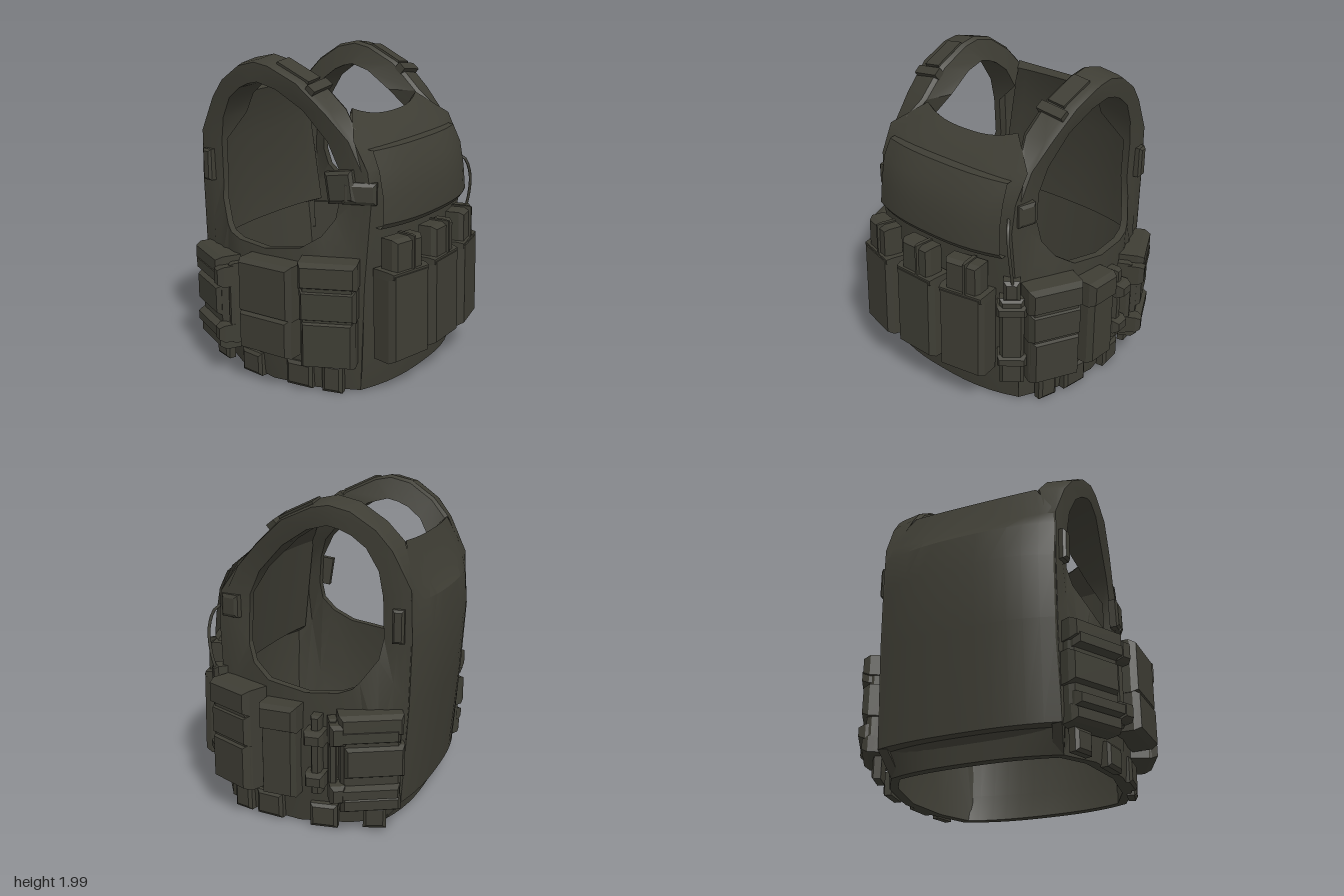
import * as THREE from 'three';
import { toCreasedNormals } from 'three/addons/utils/BufferGeometryUtils.js';

const fabric = new THREE.MeshStandardMaterial({ color: 0x3e3d34, side: THREE.DoubleSide });
fabric.name = 'dark olive fabric';

function mesh(name, geometry, parent, crease = 0.45) {
  const m = new THREE.Mesh(toCreasedNormals(geometry, crease), fabric);
  m.name = name;
  parent.add(m);
  return m;
}

// Skin over a closed loop of point rows
function loft(rows, closeCols, flip = false) {
  const n = rows.length, k = rows[0].length, index = [];
  for (let i = 0; i < n; i++) {
    for (let j = 0; j < (closeCols ? k : k - 1); j++) {
      const i2 = (i + 1) % n, j2 = (j + 1) % k;
      const a = i * k + j, b = i * k + j2, c = i2 * k + j2, d = i2 * k + j;
      index.push(...(flip ? [a, c, b, a, d, c] : [a, b, c, a, c, d]));
    }
  }
  const g = new THREE.BufferGeometry();
  g.setAttribute('position', new THREE.Float32BufferAttribute(rows.flat(2), 3));
  g.setIndex(index);
  return g;
}

// Curved panel; each row is [y, centre x, edge x, half width, edge y]
function panel(rows, dir) {
  const cols = 12;
  return loft(rows.map(([y, xc, xe, w, ye = y]) => Array.from({ length: cols + 1 }, (_, j) => {
    const t = dir * (1 - 2 * j / cols), q = Math.abs(t) ** 2.6;
    return [xc + (xe - xc) * q, y + (ye - y) * q, t * w];
  })), false);
}

// Box standing on z = 0 whose outer face is inset for a bevelled look
function bevelBox(w, h, d, inset) {
  const g = new THREE.BoxGeometry(w, h, d, 1, 1, 2).translate(0, 0, d / 2);
  const p = g.attributes.position;
  for (let i = 0; i < p.count; i++) {
    if (p.getZ(i) > d * 0.9) {
      p.setX(i, p.getX(i) * (1 - 2 * inset / w));
      p.setY(i, p.getY(i) * (1 - 2 * inset / h));
    } else if (p.getZ(i) > d * 0.4) p.setZ(i, d * 0.75);
  }
  return g;
}

// Adds a group of bevelled pieces: [name, x, y, z, w, h, d]; side mirrors local x
function kit(parent, name, pos, yaw, pieces, side = 1, tilt = 0) {
  const g = new THREE.Group();
  g.name = name;
  g.position.set(...pos);
  g.rotation.set(tilt, yaw, 0, 'YXZ');
  for (const [n, x, y, z, w, h, d] of pieces) {
    mesh(n, bevelBox(w, h, d, Math.min(0.02, w / 5, h / 5)), g, 0.3).position.set(side * x, y, z);
  }
  parent.add(g);
  return g;
}

// Armhole ring: hole x, y, z, outer x, y, z, and inner strap z on the shoulder
const stations = [
  [.34, 1.2, .57, .55, 1.2, .56], [.33, 1.38, .57, .53, 1.38, .57],
  [.26, 1.53, .58, .44, 1.55, .58, .42], [.1, 1.7, .60, .30, 1.70, .61, .35],
  [-.07, 1.81, .63, .12, 1.87, .64, .365], [-.2, 1.845, .64, -.09, 1.97, .65, .375],
  [-.27, 1.83, .64, -.2, 1.995, .65, .375], [-.34, 1.8, .63, -.34, 1.965, .64, .375],
  [-.43, 1.73, .62, -.5, 1.86, .62, .365], [-.5, 1.6, .6, -.6, 1.75, .6, .35],
  [-.525, 1.45, .59, -.69, 1.5, .58], [-.53, 1.2, .58, -.70, 1.2, .575],
  [-.51, 1.08, .61, -.69, .8, .575], [-.42, .95, .68, -.65, .18, .575],
  [-.38, .91, .7, -.54, .03, .54], [-.3, .88, .715, -.35, .03, .66],
  [-.1, .86, .725, -.05, .02, .72], [.15, .9, .71, .25, .02, .68],
  [.27, .98, .66, .49, .02, .57], [.33, 1.08, .6, .52, .7, .58],
];

function armRing(s) {
  const rows = stations.map(([hx, hy, hz, ox, oy, oz, iz]) => {
    const toHole = k => [ox + (hx - ox) * k, oy + (hy - oy) * k];
    const low = hy < 1, mid = (hz + oz) / 2 + (low ? 0.03 : 0.01);
    // Shoulder stations have a sloped top; body stations are a thin wall
    return iz ? [
      [hx, hy, s * hz], [...toHole(.45), s * oz], [...toHole(.2), s * oz],
      [...toHole(.12), s * (oz - .04)], [ox, oy, s * (iz + .09)],
      [...toHole(.1), s * (iz + .06)], [hx, hy, s * (iz + .02)],
    ] : [
      [hx, hy, s * hz], [...toHole(.5), s * mid], [...toHole(.2), s * (oz + (mid - oz) * .4)],
      [ox, oy, s * oz], [ox, oy, s * (oz - .06)],
      [...toHole(.5), s * (mid - .03)], [hx, hy, s * (hz - .05)],
    ];
  });
  return loft(rows, true, s < 0);
}

export function createModel() {
  const vest = new THREE.Group();
  vest.name = 'vest';

  // Chest and back panels: outer rows, then the padded lining and thin lower wall inside
  mesh('chestPanel', panel([
    [.02, .6, .49, .57], [.2, .62, .51, .585], [.7, .61, .52, .58], [1.2, .62, .55, .56],
    [1.38, .6, .53, .57], [1.53, .49, .44, .58, 1.55], [1.64, .35, .30, .38, 1.70],
    [1.61, .32, .28, .37, 1.67], [1.5, .41, .38, .5], [.86, .5, .46, .53], [.82, .585, .5, .55],
    [.2, .59, .49, .56], [.02, .54, .45, .55],
  ], 1), vest);
  mesh('backPanel', panel([
    [.03, -.62, -.54, .54], [.17, -.64, -.6, .575], [.18, -.71, -.65, .575], [.8, -.77, -.685, .578],
    [1.2, -.80, -.695, .578], [1.42, -.77, -.69, .58], [1.5, -.71, -.685, .58],
    [1.74, -.62, -.60, .42, 1.75], [1.71, -.58, -.56, .40],
    [1.4, -.67, -.62, .5], [.82, -.62, -.56, .54], [.78, -.74, -.66, .56],
    [.2, -.68, -.62, .56], [.03, -.56, -.5, .52],
  ], -1), vest);

  // Raised chest flap
  mesh('chestFlap', panel([
    [1.05, .58, .5, .52], [1.04, .675, .59, .52], [1.07, .695, .61, .52], [1.22, .685, .60, .51],
    [1.38, .64, .57, .51], [1.49, .57, .52, .5], [1.5, .5, .45, .5],
  ], 1), vest);

  for (const s of [1, -1]) {
    mesh(s > 0 ? 'leftArmRing' : 'rightArmRing', armRing(s), vest);
    const turn = yaw => (s > 0 ? yaw : Math.PI - yaw);

    // Shoulder strap fasteners
    const tab = mesh('strapTab', new THREE.BoxGeometry(.24, .03, .12), vest);
    tab.position.set(.015, 1.91, s * .52);
    tab.rotation.set(s * .12, 0, -.445);
    const keeper = mesh('strapKeeper', new THREE.BoxGeometry(.06, .05, .19), vest);
    keeper.position.set(.155, 1.825, s * .515);
    keeper.rotation.set(s * .12, 0, -.66);

    // Tabs beside the armhole
    kit(vest, 'rearTab', [-.62, 1.29, s * .57], turn(-.15), [['rearTabPad', 0, 0, 0, .07, .2, .06]]);

    // Front corner pouch with lid
    kit(vest, 'cornerPouch', [.325, .53, s * .64], turn(.42), [
      ['pouchBody', 0, -.03, 0, .33, .58, .15], ['pouchLid', 0, .25, 0, .35, .16, .175],
      ['pouchBand', 0, .07, 0, .34, .2, .165], ['pouchPocket', 0, -.17, 0, .32, .3, .17],
    ]);

    // Rear triple-banded pouch with buckles on its forward edge
    kit(vest, 'rearPouch', [-.46, .47, s * .63], turn(-.5), [
      ['pouchBody', 0, 0, 0, .36, .58, .12], ['pouchLid', 0, .25, 0, .38, .13, .16],
      ['upperBand', .03, .19, 0, .4, .1, .165], ['middleRoll', -.02, .02, 0, .36, .2, .15],
      ['lowerBand', .03, -.17, 0, .4, .09, .165], ['lowerRoll', 0, -.25, 0, .36, .1, .14],
      ['upperBuckle', .2, .2, .04, .09, .13, .13], ['lowerBuckle', .2, -.17, .04, .09, .11, .13],
      ['sidePost', .22, .02, 0, .05, .52, .09],
    ], s);

    // Loops hanging along the lower hem
    for (const [x, y, w, h] of [[-.5, .1, .14, .14], [-.21, .09, .17, .15], [.14, .1, .18, .16], [.34, .1, .13, .18]]) {
      const z = (s > 0 ? .71 : .725) - .42 * (x + .05) ** 2;
      kit(vest, 'hemLoop', [x, y, s * (z - .02)], turn(x * .7), [['hemLoopPad', 0, 0, 0, w, h, .06]]);
    }
  }

  // Middle pouches: wide on the left, narrow on the right
  kit(vest, 'middlePouch', [-.01, .53, .72], 0, [
    ['pouchBody', 0, 0, 0, .36, .57, .13], ['pouchCover', 0, .12, 0, .38, .34, .16],
    ['pouchPocket', 0, -.16, 0, .37, .25, .165],
  ]);
  kit(vest, 'narrowPouch', [.035, .5, -.71], Math.PI, [
    ['pouchBody', 0, 0, 0, .22, .56, .15], ['pouchLid', 0, .22, 0, .24, .16, .165],
  ]);
  kit(vest, 'cableBundle', [-.18, .5, -.71], Math.PI + .1, [
    ['cableSleeve', 0, 0, 0, .06, .5, .1], ['cableClip', 0, .12, 0, .12, .09, .16],
    ['cableClip', 0, -.15, 0, .12, .09, .14],
  ]);

  // Shoulder patch beside the left armhole
  const patch = kit(vest, 'armholePatch', [.365, 1.28, .57], .12, [['patchPad', 0, 0, 0, .18, .19, .06]]);
  patch.rotation.z = .15;
  kit(vest, 'armholeStrap', [.47, 1.25, .55], .4, [['strapPad', 0, 0, 0, .2, .13, .05]]);
  kit(vest, 'rightArmholeTab', [.45, 1.3, -.56], Math.PI - .2, [['tabPad', 0, 0, 0, .12, .14, .05]]);

  // Three chest pouches with protruding inserts
  for (const [x, z, yaw] of [[.60, .395, -.24], [.625, .05, 0], [.60, -.295, .2]]) {
    kit(vest, 'chestPouch', [x, .52, z], Math.PI / 2 + yaw, [
      ['pouchBody', 0, 0, 0, .31, .56, .165], ['pouchRim', 0, .26, 0, .315, .05, .16],
      ['insert', 0, .355, .03, .24, .23, .115], ['insertLoop', .03, .36, .03, .025, .24, .13],
    ], 1, -.02);
  }

  // Radio at the right front corner with a bent aerial
  kit(vest, 'radio', [.50, .5, -.52], Math.PI - .85, [
    ['radioBody', 0, -.02, 0, .15, .6, .11], ['radioTop', 0, .34, .02, .1, .13, .1],
    ['radioBand', 0, .2, 0, .18, .07, .13], ['radioBand', 0, -.15, 0, .18, .07, .13],
  ]);
  const aerial = new THREE.CatmullRomCurve3([
    [.57, .86, -.59], [.60, 1.0, -.6], [.61, 1.15, -.59], [.58, 1.26, -.56], [.53, 1.29, -.52],
  ].map(p => new THREE.Vector3(...p)));
  mesh('aerial', new THREE.TubeGeometry(aerial, 12, .01, 5), vest, 1.4);

  return vest;
}
